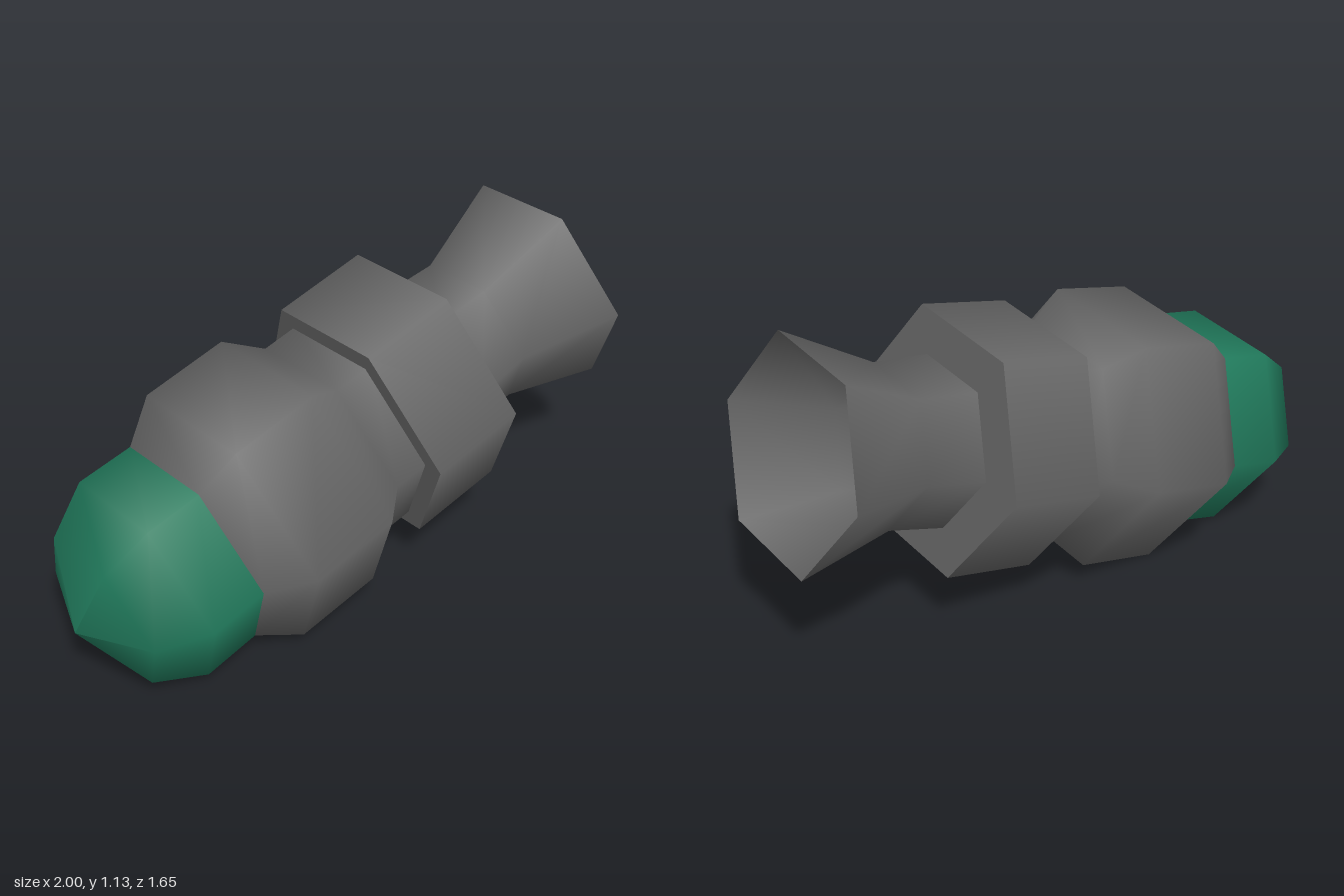
import * as THREE from 'three';

const SIDES = 6;

export function createModel() {
  const model = new THREE.Group();
  model.name = 'capsule';

  const grey = new THREE.MeshStandardMaterial({ color: 0x666666, side: THREE.DoubleSide });
  grey.name = 'dark grey';
  const green = new THREE.MeshStandardMaterial({ color: 0x217a5c });
  green.name = 'green';

  // All parts turn around one tilted axis; y = 0 is the mouth of the nozzle
  const body = new THREE.Group();
  body.name = 'tiltedBody';
  const axis = new THREE.Vector3(0.812, 0.2385, -0.5326).normalize();
  const side = new THREE.Vector3().crossVectors(axis, new THREE.Vector3(0.53, 0.083, 0.844)).normalize();
  const corner = new THREE.Vector3().crossVectors(side, axis);
  body.quaternion.setFromRotationMatrix(new THREE.Matrix4().makeBasis(side, axis, corner));
  body.position.set(0.79, 0.78, -0.495);
  model.add(body);

  const add = (name, geometry, material) => {
    const mesh = new THREE.Mesh(geometry, material);
    mesh.name = name;
    body.add(mesh);
    return mesh;
  };
  // Six-sided turned part from [radius, position along axis] pairs
  const turned = (name, profile, material) =>
    add(name, new THREE.LatheGeometry(profile.map(p => new THREE.Vector2(...p)), SIDES), material);

  // Rounded nose
  turned('noseCap', [[0, -2.13], [0.29, -2.013], [0.388, -1.841], [0.383, -1.635]], green);

  // Swollen main hull
  turned('hull', [[0.383, -1.635], [0.489, -1.49], [0.489, -1.17], [0.382, -1.05], [0.382, -0.91]], grey);

  // Wide collar with flat ends
  add('collar', new THREE.CylinderGeometry(0.457, 0.457, 0.354, SIDES), grey).position.y = -0.747;

  // Open flared nozzle
  turned('nozzle', [[0.29, -0.57], [0.275, -0.35], [0.395, 0]], grey);

  return model;
}
